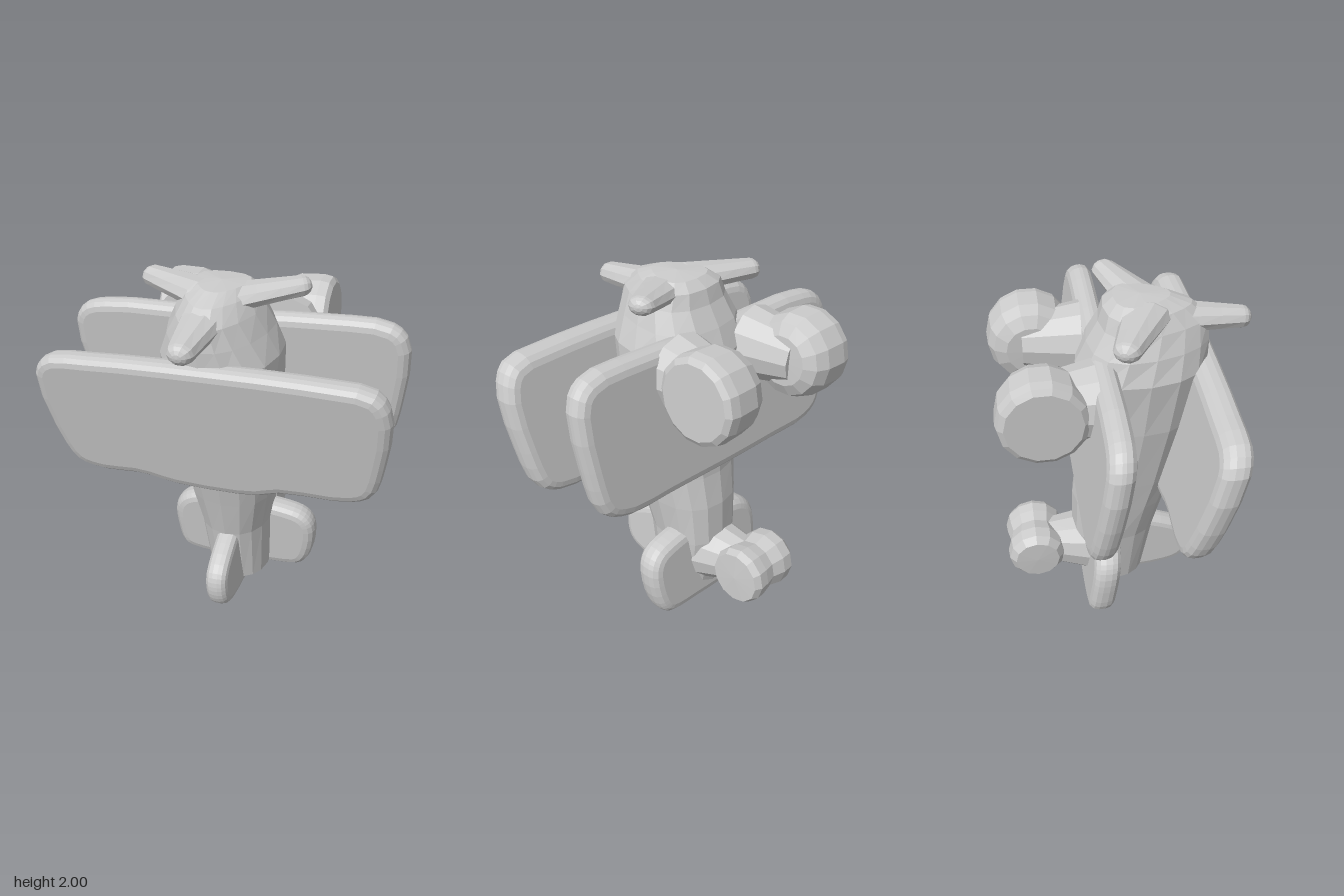
import * as THREE from 'three';

const material = new THREE.MeshStandardMaterial({ color: 0xcccccc, flatShading: true });

export function createModel() {
  const model = new THREE.Group();
  const add = (name, geometry) => {
    geometry.computeVertexNormals();
    const mesh = new THREE.Mesh(geometry, material);
    mesh.name = name;
    model.add(mesh);
    return mesh;
  };

  // Soft-edged slab, centred on its thickness
  const slab = (points, thickness, bevel, divisions) => {
    const curve = new THREE.CatmullRomCurve3(
      points.map(([x, y]) => new THREE.Vector3(x, y, 0)), true, 'centripetal');
    const outline = curve.getPoints(divisions).slice(0, -1).map(p => new THREE.Vector2(p.x, p.y));
    const depth = thickness - 2 * bevel;
    return new THREE.ExtrudeGeometry(new THREE.Shape(outline), {
      depth, bevelThickness: bevel, bevelSize: bevel, bevelOffset: -bevel, bevelSegments: 3,
    }).translate(0, 0, -depth / 2);
  };

  // Upright slab whose depth leans forward with height
  const leaningSlab = (name, points, thickness, y0, z0, slope) => {
    const g = slab(points, thickness, 0.06, 44);
    const p = g.attributes.position;
    for (let i = 0; i < p.count; i++) p.setZ(i, p.getZ(i) + z0 + (p.getY(i) - y0) * slope);
    add(name, g);
  };

  // Fuselage: rings of [y, centre x, centre z, half width, half depth, front narrowing]
  const rings = [
    [0.03, 0.07, -0.09, 0.11, 0.11, 0], [0.08, 0.07, -0.05, 0.18, 0.19, 0.1],
    [0.45, 0.05, -0.045, 0.21, 0.25, 0.1], [0.7, 0.045, -0.01, 0.245, 0.275, 0],
    [0.9, 0.04, 0.03, 0.27, 0.285, 0], [1.3, 0.02, 0.08, 0.31, 0.32, 0],
    [1.62, 0, 0.11, 0.32, 0.355, 0.1], [1.75, -0.01, 0.145, 0.27, 0.33, 0.25],
    [1.86, -0.01, 0.175, 0.215, 0.295, 0.4], [1.94, -0.01, 0.14, 0.18, 0.235, 0.45],
    [1.985, 0, 0.11, 0.13, 0.15, 0.4],
  ];
  const sides = 16, verts = [], faces = [];
  const round = v => Math.sign(v) * Math.abs(v) ** 0.85;
  for (const [y, cx, cz, rx, rz, narrow] of rings) {
    for (let i = 0; i < sides; i++) {
      const a = (i / sides) * Math.PI * 2;
      const c = round(Math.cos(a)), s = round(Math.sin(a));
      verts.push(cx + rx * c * (1 - narrow * s), y, cz + rz * s);
    }
  }
  const last = (rings.length - 1) * sides, bottom = rings.length * sides;
  verts.push(0.07, 0.02, -0.09, 0, 1.995, 0.1);
  for (let i = 0; i < sides; i++) {
    const j = (i + 1) % sides;
    for (let k = 0; k < last; k += sides) {
      faces.push(k + i, k + sides + i, k + j, k + j, k + sides + i, k + sides + j);
    }
    faces.push(bottom, i, j, bottom + 1, last + j, last + i);
  }
  const body = new THREE.BufferGeometry();
  body.setAttribute('position', new THREE.Float32BufferAttribute(verts, 3));
  body.setIndex(faces);
  add('fuselage', body);

  // Two main wings and the tailplane
  leaningSlab('frontWing', [
    [-0.94, 1.48], [-0.86, 1.59], [-0.6, 1.63], [0, 1.67], [0.6, 1.69], [0.88, 1.67], [0.96, 1.55],
    [0.95, 1.2], [0.9, 1], [0.78, 0.93], [0.42, 0.9], [0.25, 0.84], [-0.2, 0.82], [-0.4, 0.85],
    [-0.65, 0.83], [-0.8, 0.87], [-0.88, 1.02]], 0.16, 1.28, 0.355, 0.22);
  leaningSlab('rearWing', [
    [-0.97, 1.55], [-0.9, 1.66], [-0.72, 1.71], [0, 1.74], [0.5, 1.78], [0.85, 1.78], [0.95, 1.69],
    [0.95, 1.3], [0.9, 1.08], [0.76, 1], [0.4, 0.97], [0, 0.94], [-0.4, 0.92],
    [-0.7, 0.91], [-0.84, 0.97], [-0.91, 1.12]], 0.14, 1.37, -0.17, 0.14);
  leaningSlab('tailplane', [
    [-0.37, 0.38], [-0.31, 0.47], [-0.15, 0.53], [0.3, 0.53], [0.46, 0.49], [0.52, 0.4],
    [0.5, 0.16], [0.44, 0.07], [0.2, 0.03], [-0.2, 0.01], [-0.33, 0.05], [-0.37, 0.2]],
    0.16, 0.27, -0.14, 0.13);

  // Tail fin, outlined in z and y
  add('tailFin', slab([
    [0.46, 0.22], [0.43, 0.33], [0.2, 0.45], [-0.05, 0.5], [-0.1, 0.06], [0.3, 0.04], [0.42, 0.1]],
    0.13, 0.05, 28).rotateY(-Math.PI / 2).rotateZ(0.06).translate(0.085, 0, 0));

  // Main wheels turned around the x axis, on thick struts
  const wheelProfile = [[0, -0.16], [0.14, -0.155], [0.205, -0.12], [0.235, -0.05], [0.24, 0.08],
    [0.23, 0.13], [0.2, 0.15], [0, 0.15]].map(p => new THREE.Vector2(...p));
  const up = new THREE.Vector3(0, 1, 0);
  const strut = (name, from, to, r0, r1) => {
    const a = new THREE.Vector3(...from), b = new THREE.Vector3(...to), d = b.clone().sub(a);
    const mesh = add(name, new THREE.CylinderGeometry(r1, r0, d.length(), 12, 2));
    mesh.position.copy(a).addScaledVector(d, 0.5);
    mesh.quaternion.setFromUnitVectors(up, d.normalize());
  };
  for (const [side, name, x, y] of [[1, 'left', 0.335, 1.61], [-1, 'right', -0.355, 1.57]]) {
    const wheel = add(name + 'Wheel', new THREE.LatheGeometry(wheelProfile, 14));
    wheel.position.set(x, y, -0.455);
    wheel.rotation.z = -side * Math.PI / 2 + 0.05;
    strut(name + 'WheelStrut', [x - side * 0.06, y, -0.18], [x - side * 0.04, y, -0.5], 0.21, 0.15);
  }

  // Twin tail wheels with a slight waist
  const tailProfile = [[0, -0.185], [0.13, -0.18], [0.165, -0.14], [0.17, -0.07], [0.15, 0.01],
    [0.165, 0.08], [0.17, 0.14], [0.15, 0.18], [0, 0.185]].map(p => new THREE.Vector2(...p));
  const tailWheels = add('tailWheels', new THREE.LatheGeometry(tailProfile, 12));
  tailWheels.position.set(0.03, 0.365, -0.525);
  tailWheels.rotation.z = -Math.PI / 2 + 0.06;
  strut('tailWheelStrut', [0.04, 0.32, -0.17], [0.03, 0.36, -0.48], 0.2, 0.125);

  // Three propeller blades, narrowing towards the tip
  const blade = (name, root, tip, width, thickness) => {
    const a = new THREE.Vector3(...root), b = new THREE.Vector3(...tip), d = b.clone().sub(a);
    const length = d.length();
    const g = new THREE.CapsuleGeometry(0.05, length - 0.1, 4, 10, 3);
    const p = g.attributes.position;
    for (let i = 0; i < p.count; i++) {
      const t = p.getY(i) / length + 0.5;
      p.setX(i, p.getX(i) / 0.05 * (width * (1 - 0.55 * t)));
      p.setZ(i, p.getZ(i) / 0.05 * (thickness * (1 - 0.3 * t)));
    }
    const along = d.normalize(), across = along.clone().cross(up).normalize();
    g.applyMatrix4(new THREE.Matrix4().makeBasis(across, along, across.clone().cross(along)));
    add(name, g).position.copy(a).lerp(b, 0.5);
  };
  blade('leftBlade', [0.02, 1.91, 0.14], [0.435, 1.965, -0.05], 0.14, 0.07);
  blade('rightBlade', [-0.05, 1.92, 0.14], [-0.48, 1.91, -0.06], 0.14, 0.075);
  blade('frontBlade', [-0.02, 1.87, 0.2], [-0.02, 1.82, 0.695], 0.14, 0.08);

  return model;
}
